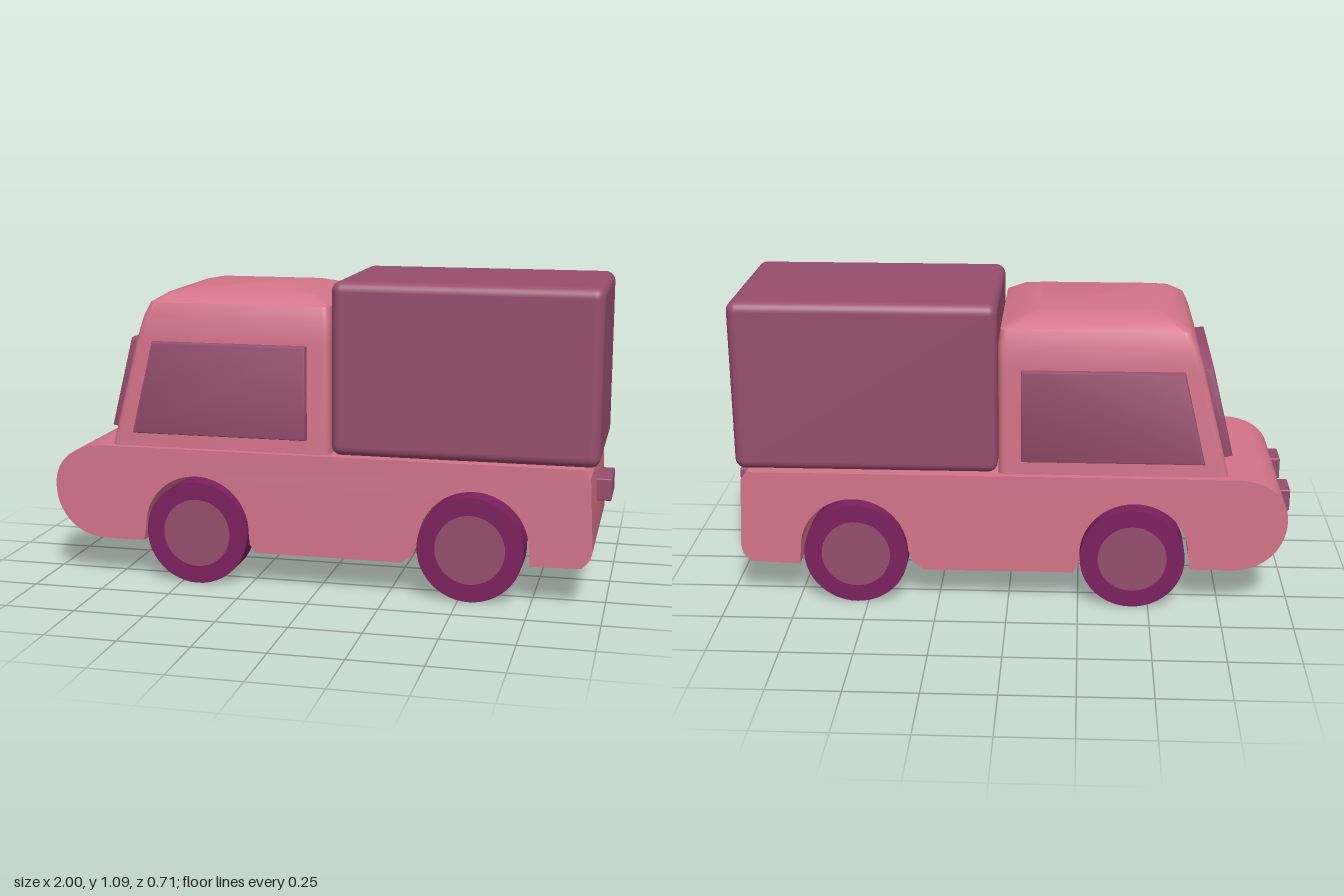
import * as THREE from 'three';
import { toCreasedNormals } from 'three/addons/utils/BufferGeometryUtils.js';
import { RoundedBoxGeometry } from 'three/addons/geometries/RoundedBoxGeometry.js';

const material = (name, color) => {
  const m = new THREE.MeshStandardMaterial({ color });
  m.name = name;
  return m;
};

// Extrude a side profile across the width, centred on z = 0
function extrudeSide(shape, width, bevel = 0) {
  const geo = new THREE.ExtrudeGeometry(shape, {
    depth: width - 2 * bevel, curveSegments: 24, bevelEnabled: bevel > 0,
    bevelSize: bevel, bevelThickness: bevel, bevelOffset: -bevel, bevelSegments: 2,
  });
  geo.translate(0, 0, -width / 2 + bevel);
  return toCreasedNormals(geo, 0.6);
}

const polygon = (pts) => new THREE.Shape(pts.map(([x, y]) => new THREE.Vector2(x, y)));

// Skin rounded rectangles [y, xFront, xBack, halfWidth, cornerRadius] from bottom to top
function loft(sections) {
  const pos = [], index = [], steps = 4, n = 4 * (steps + 1);
  for (const [y, x0, x1, hz, r] of sections) {
    for (let c = 0; c < 4; c++) {
      const cx = c === 0 || c === 3 ? x1 - r : x0 + r;
      const cz = c < 2 ? -hz + r : hz - r;
      for (let s = 0; s <= steps; s++) {
        const a = (c + s / steps) * Math.PI / 2;
        pos.push(cx + r * Math.cos(a), y, cz - r * Math.sin(a));
      }
    }
  }
  for (let i = 0; i < sections.length - 1; i++) {
    for (let j = 0; j < n; j++) {
      const a = i * n + j, b = i * n + (j + 1) % n;
      index.push(a, b, b + n, a, b + n, a + n);
    }
  }
  const top = (sections.length - 1) * n;
  for (let j = 1; j < n - 1; j++) index.push(top, top + j, top + j + 1);
  const geo = new THREE.BufferGeometry();
  geo.setAttribute('position', new THREE.Float32BufferAttribute(pos, 3));
  geo.setIndex(index);
  return toCreasedNormals(geo, 0.6);
}

export function createModel() {
  const pink = material('pink paint', 0xd4748a);
  const mauve = material('mauve trim', 0x974e6d);
  const plum = material('plum tyre', 0x7d205e);
  const model = new THREE.Group();
  model.name = 'boxTruck';
  const add = (name, geo, mat, x = 0, y = 0, z = 0, parent = model) => {
    const mesh = new THREE.Mesh(geo, mat);
    mesh.name = name;
    mesh.position.set(x, y, z);
    parent.add(mesh);
    return mesh;
  };

  // Lower body with rounded nose and open wheel arches
  const body = new THREE.Shape();
  body.moveTo(0.92, 0.14);
  body.lineTo(0.745, 0.135);
  body.lineTo(0.74, 0.195);
  body.absarc(0.548, 0.195, 0.192, 0, Math.PI, false);
  body.lineTo(0.34, 0.15);
  body.lineTo(0.3, 0.12);
  body.lineTo(-0.23, 0.12);
  body.lineTo(-0.25, 0.15);
  body.absarc(-0.446, 0.195, 0.192, 0, Math.PI, false);
  body.lineTo(-0.647, 0.14);
  body.lineTo(-0.79, 0.14);
  body.bezierCurveTo(-0.9, 0.14, -0.98, 0.22, -0.98, 0.33);
  body.bezierCurveTo(-0.98, 0.43, -0.9, 0.483, -0.79, 0.483);
  body.lineTo(0.92, 0.483);
  body.lineTo(0.942, 0.455);
  body.lineTo(0.955, 0.2);
  body.lineTo(0.948, 0.172);
  body.closePath();
  add('body', extrudeSide(body, 0.67), pink);

  // Cab with raked windscreen side and soft roof
  add('cab', loft([
    [0.475, -0.772, 0.035, 0.31, 0.025],
    [0.87, -0.67, 0.035, 0.31, 0.025],
    [0.95, -0.645, 0.035, 0.306, 0.025],
    [1.0, -0.622, 0.028, 0.29, 0.025],
    [1.032, -0.57, -0.03, 0.245, 0.025],
    [1.048, -0.5, -0.1, 0.19, 0.025],
  ]), pink);

  // Cargo box
  add('cargoBox', new RoundedBoxGeometry(0.93, 0.61, 0.62, 4, 0.035), mauve, 0.503, 0.785, 0);

  // Windscreen and side windows
  add('windscreen', extrudeSide(polygon([
    [-0.785, 0.545], [-0.735, 0.53], [-0.65, 0.86], [-0.705, 0.867],
  ]), 0.52, 0.008), mauve);
  const sideWindow = extrudeSide(polygon([
    [-0.685, 0.533], [-0.045, 0.533], [-0.045, 0.865], [-0.605, 0.865],
  ]), 0.04, 0.008);
  for (const s of [1, -1]) add(s > 0 ? 'leftWindow' : 'rightWindow', sideWindow, mauve, 0, 0, s * 0.31);

  // Headlights and rear plate
  for (const s of [1, -1]) {
    add('headlight', new RoundedBoxGeometry(0.1, 0.08, 0.11, 2, 0.005), mauve, -0.95, 0.36, s * 0.155);
  }
  add('rearPlate', new RoundedBoxGeometry(0.08, 0.08, 0.185, 2, 0.005), mauve, 0.96, 0.36, 0);

  // Wheels with flat hub discs
  const tyre = new THREE.CylinderGeometry(0.185, 0.185, 0.11, 48).rotateX(Math.PI / 2);
  const hub = new THREE.CylinderGeometry(0.122, 0.122, 0.006, 40).rotateX(Math.PI / 2);
  for (const x of [-0.44, 0.54]) {
    for (const s of [1, -1]) {
      const wheel = new THREE.Group();
      wheel.name = 'wheel';
      wheel.position.set(x, 0.185, s * 0.3);
      add('tyre', tyre, plum, 0, 0, 0, wheel);
      add('hub', hub, mauve, 0, 0, s * 0.054, wheel);
      model.add(wheel);
    }
  }
  return model;
}
